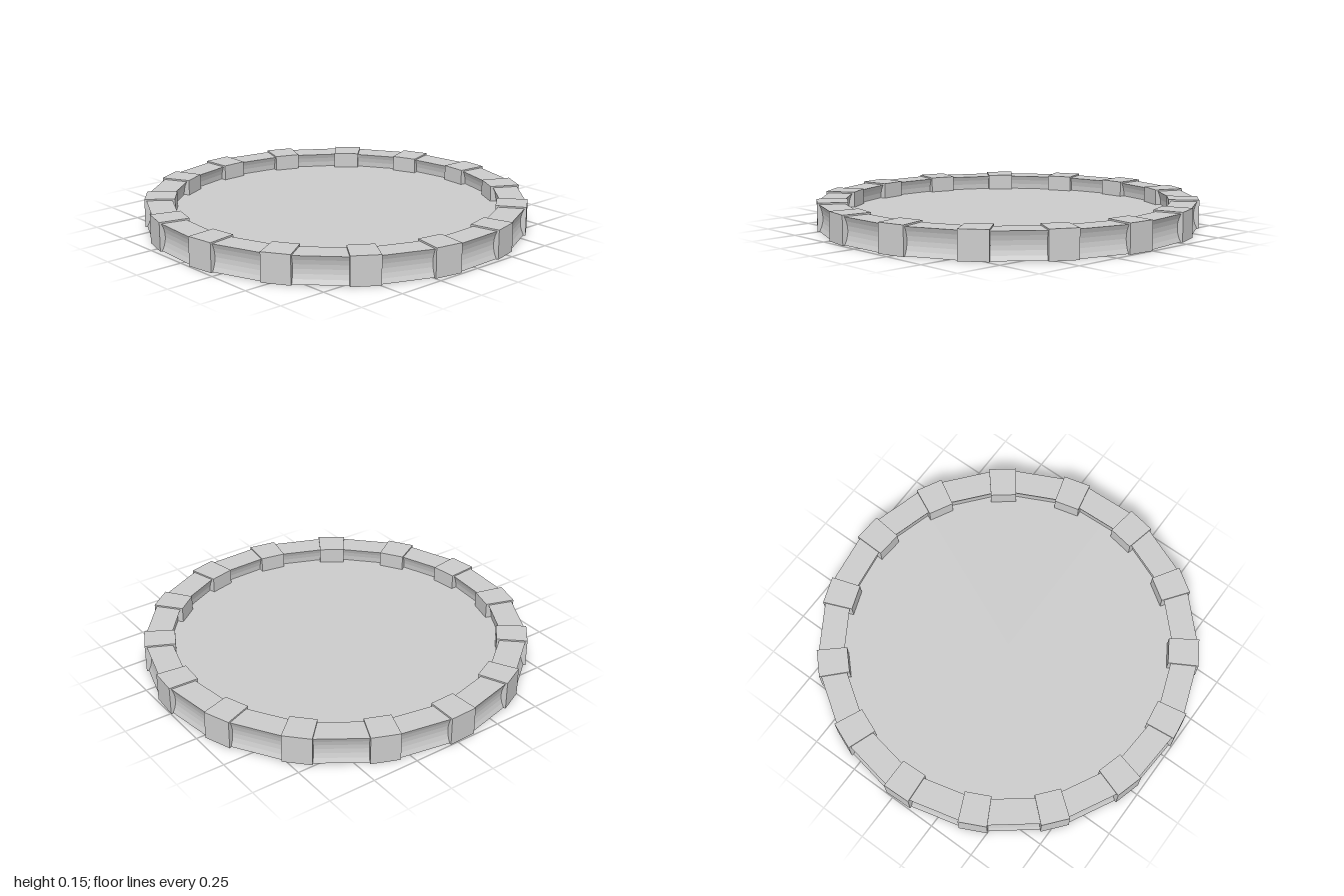
import * as THREE from 'three';

const COUNT = 15;
const STEP = (Math.PI * 2) / COUNT;
const START = THREE.MathUtils.degToRad(85.9);

const material = new THREE.MeshStandardMaterial({ color: 0xcccccc, flatShading: true });
const thinMaterial = new THREE.MeshStandardMaterial({ color: 0xcccccc, side: THREE.DoubleSide });

// Slightly wedge-shaped block, local x pointing outwards
function blockGeometry() {
  const shape = new THREE.Shape([
    new THREE.Vector2(0.837, -0.068),
    new THREE.Vector2(0.995, -0.074),
    new THREE.Vector2(0.995, 0.074),
    new THREE.Vector2(0.837, 0.068),
  ]);
  const geometry = new THREE.ExtrudeGeometry(shape, { depth: 0.15, bevelEnabled: false });
  return geometry.rotateX(-Math.PI / 2);
}

// Straight rail whose inner and outer sides are hollowed in a shallow curve
function railGeometry() {
  const bottom = 0.002, top = 0.142, bands = 6, hollow = 0.018, length = 0.3;
  const outer = [], inner = [];
  for (let i = 0; i <= bands; i++) {
    const t = i / bands;
    const y = bottom + (top - bottom) * t;
    const dip = hollow * 4 * t * (1 - t);
    outer.push(new THREE.Vector2(0.978 - dip, y));
    inner.unshift(new THREE.Vector2(0.846 + dip, y));
  }
  const shape = new THREE.Shape([...outer, ...inner]);
  const geometry = new THREE.ExtrudeGeometry(shape, { depth: length, bevelEnabled: false });
  return geometry.translate(0, 0, -length / 2);
}

// Repeats one part around the rim
function ringOf(name, geometry, offset) {
  const group = new THREE.Group();
  group.name = name + 's';
  for (let i = 0; i < COUNT; i++) {
    const mesh = new THREE.Mesh(geometry, material);
    mesh.name = name;
    mesh.rotation.y = START + (i + offset) * STEP;
    group.add(mesh);
  }
  return group;
}

export function createModel() {
  const model = new THREE.Group();
  model.name = 'roundPlatform';
  model.add(ringOf('rimBlock', blockGeometry(), 0));
  model.add(ringOf('rimRail', railGeometry(), 0.5));

  // Thin floor set at mid height inside the rim
  const floor = new THREE.Mesh(new THREE.CircleGeometry(0.88, 60).rotateX(-Math.PI / 2), thinMaterial);
  floor.name = 'floor';
  floor.position.y = 0.068;
  model.add(floor);
  return model;
}
